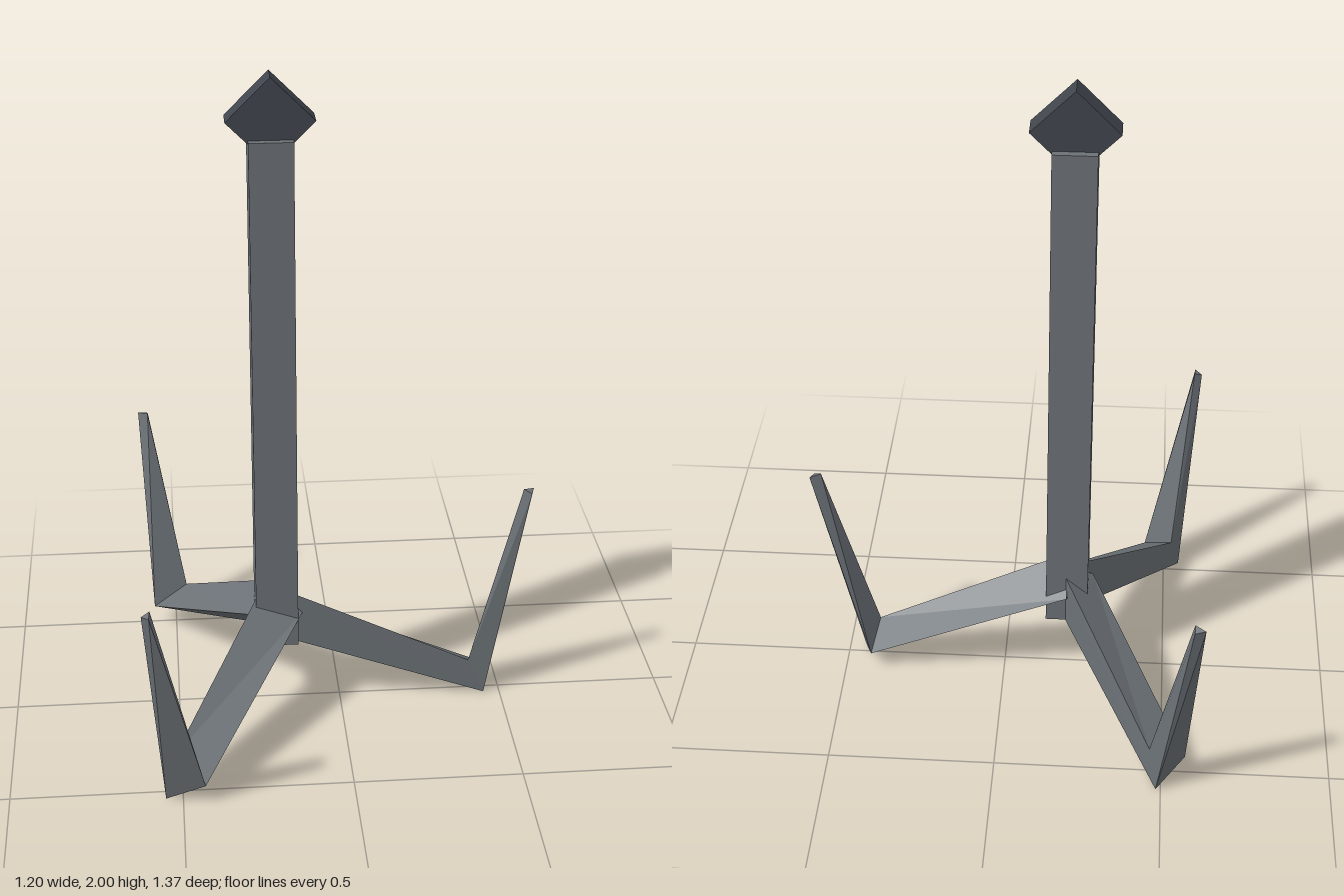
import * as THREE from 'three';

const steel = new THREE.MeshStandardMaterial({ color: 0x6c7277 });
steel.name = 'steel grey';
const dark = new THREE.MeshStandardMaterial({ color: 0x41464e });
dark.name = 'dark steel';

// Three-sided arm swept through root, elbow and tip triangles, capped at both ends
function clawGeometry() {
  const rings = [
    [[0.0, 0.405, 0.034], [-0.02, 0.245, 0.034], [0.0, 0.32, -0.09]],
    [[0.595, 0.12, 0.034], [0.645, 0.005, 0.037], [0.615, 0.062, -0.078]],
    [[0.757, 0.69, 0.002], [0.78, 0.68, 0.016], [0.79, 0.685, -0.014]],
  ];
  const pos = [];
  const tri = (a, b, c) => pos.push(...a, ...b, ...c);
  for (let k = 0; k < 2; k++) {
    for (let i = 0; i < 3; i++) {
      const j = (i + 1) % 3;
      const [p, q] = [rings[k], rings[k + 1]];
      tri(p[i], p[j], q[j]);
      tri(p[i], q[j], q[i]);
    }
  }
  const [root, , tip] = rings;
  tri(root[0], root[2], root[1]);
  tri(tip[0], tip[1], tip[2]);
  const geo = new THREE.BufferGeometry();
  geo.setAttribute('position', new THREE.Float32BufferAttribute(pos, 3));
  geo.computeVertexNormals();
  return geo;
}

export function createModel() {
  const model = new THREE.Group();
  model.name = 'grapplingHook';
  const hook = new THREE.Group();
  hook.name = 'hook';
  hook.position.set(-0.195, 0, -0.004);
  model.add(hook);

  // Square shaft
  const shaft = new THREE.Mesh(new THREE.BoxGeometry(0.128, 1.6, 0.128), steel);
  shaft.name = 'shaft';
  shaft.position.y = 1.02;
  hook.add(shaft);

  // Diamond-shaped end block
  const cap = new THREE.Mesh(new THREE.BoxGeometry(0.18, 0.18, 0.08), dark);
  cap.name = 'endBlock';
  cap.position.y = 1.873;
  cap.rotation.z = Math.PI / 4;
  hook.add(cap);

  // Three claws around the shaft
  const claw = clawGeometry();
  for (let i = 0; i < 3; i++) {
    const arm = new THREE.Mesh(claw, steel);
    arm.name = 'claw' + (i + 1);
    arm.rotation.y = (i * 2 * Math.PI) / 3;
    hook.add(arm);
  }
  return model;
}
